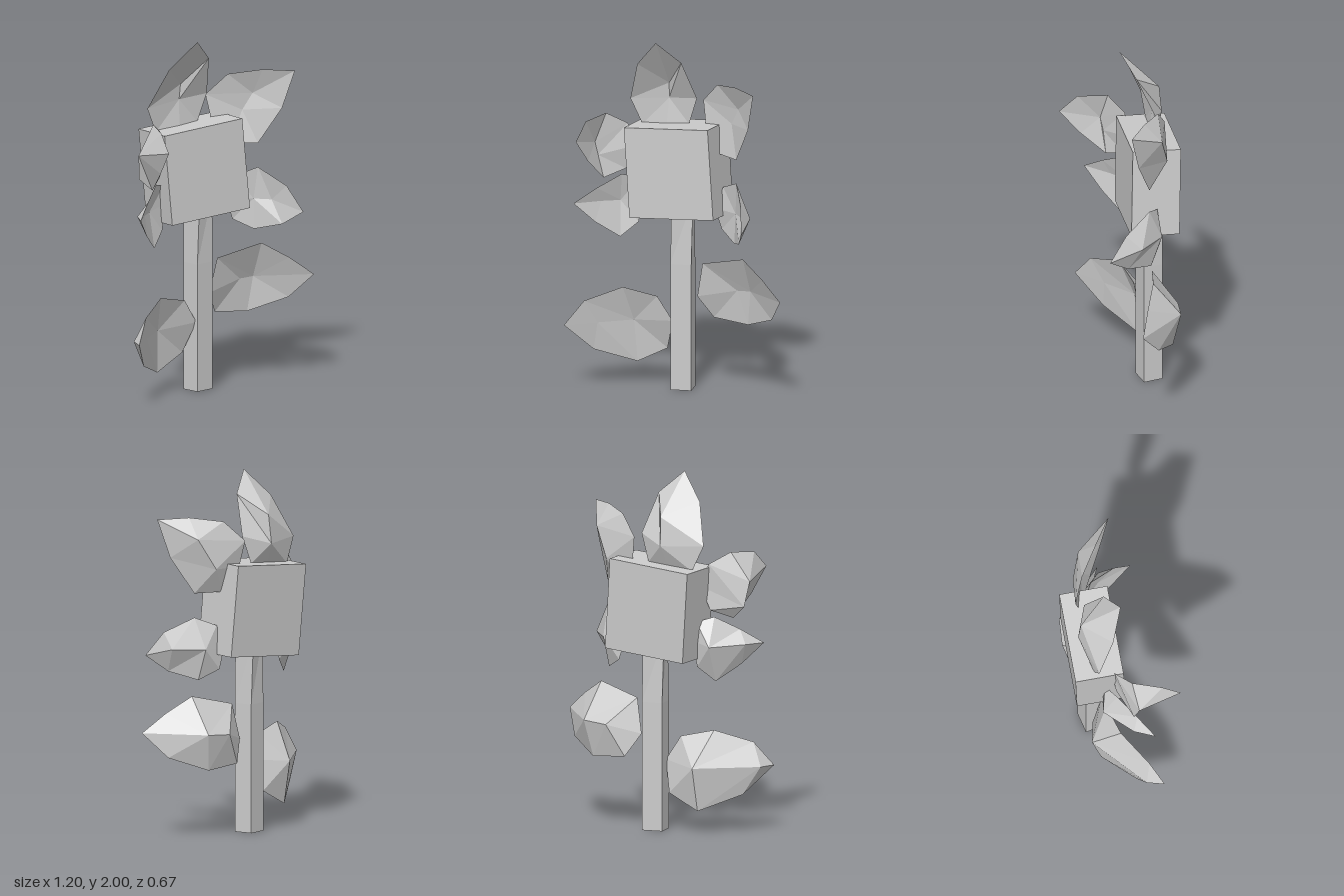
import * as THREE from 'three';

const material = new THREE.MeshStandardMaterial({ color: 0xcccccc, flatShading: true });
const vec = p => new THREE.Vector3(...p);

function facetedMesh(name, triangles) {
  const geometry = new THREE.BufferGeometry().setFromPoints(triangles.flat());
  geometry.computeVertexNormals();
  const mesh = new THREE.Mesh(geometry, material);
  mesh.name = name;
  return mesh;
}

// A cupped leaf. Base, side, tip and other side run anticlockwise from the front;
// a corner is pushed out between each pair. The keel is the ridge behind, near and far.
function leaf(name, base, sideA, tip, sideB, keel, push) {
  const corners = [base, sideA, tip, sideB].map(vec);
  const hub = new THREE.Vector3();
  corners.forEach(p => hub.addScaledVector(p, 0.25));
  const rim = corners.flatMap((p, i) => {
    const mid = p.clone().lerp(corners[(i + 1) % 4], 0.5);
    return [p, mid.addScaledVector(mid.clone().sub(hub), push[i])];
  });
  const back = keel.map(vec);
  const front = back.map(p => p.clone().lerp(hub, 0.45));
  const nearest = p => (back[0].distanceTo(p) <= back[1].distanceTo(p) ? 0 : 1);
  return facetedMesh(name, rim.flatMap((p, i) => {
    const q = rim[(i + 1) % rim.length];
    const a = nearest(p), b = nearest(q);
    const faces = [[front[a], p, q], [back[a], q, p]];
    if (a !== b) faces.push([front[a], q, front[b]], [back[a], back[b], q]);
    return faces;
  }));
}

// Four-sided stalk turned on its axis, twisting a little towards the head
function stem() {
  const ring = (y, angle) => [[1, 1], [1, -1], [-1, -1], [-1, 1]].map(([u, v]) =>
    new THREE.Vector3(u * 0.059, y, v * 0.055)
      .applyAxisAngle(new THREE.Vector3(0, 1, 0), angle)
      .add(new THREE.Vector3(-0.079, 0, -0.163)));
  const rings = [ring(0, 0.39), ring(0.72, 0.39), ring(1.1, 0.55)];
  const triangles = [];
  for (let k = 0; k < 2; k++) {
    for (let i = 0; i < 4; i++) {
      const j = (i + 1) % 4, lo = rings[k], hi = rings[k + 1];
      triangles.push([lo[i], lo[j], hi[j]], [lo[i], hi[j], hi[i]]);
    }
  }
  const [b, , t] = rings;
  triangles.push([b[0], b[2], b[1]], [b[0], b[3], b[2]], [t[0], t[1], t[2]], [t[0], t[2], t[3]]);
  return facetedMesh('stem', triangles);
}

// Tilted block at the flower's centre
function flowerHead() {
  const head = new THREE.Mesh(new THREE.BoxGeometry(0.51, 0.51, 0.27), material);
  head.name = 'flowerHead';
  head.position.set(-0.103, 1.25, -0.157);
  head.rotation.set(-0.03, 0.165, 0.085);
  return head;
}

export function createModel() {
  const group = new THREE.Group();
  group.name = 'flower';
  group.add(stem(), flowerHead());

  // Two leaves on the stem
  group.add(
    leaf('lowerRightLeaf', [-0.11, 0.39, -0.11], [-0.37, 0.57, 0], [-0.6, 0.37, 0.24],
      [-0.345, 0.125, -0.11], [[-0.35, 0.37, -0.16], [-0.59, 0.37, 0.14]], [0.4, 0.3, 0.3, 0.4]),
    leaf('lowerLeftLeaf', [0, 0.53, -0.19], [0.27, 0.385, -0.29], [0.6, 0.6, -0.12],
      [0.31, 0.79, -0.18], [[0.15, 0.58, -0.32], [0.3, 0.59, -0.335]], [0.45, 0.35, 0.05, 0.8]),
  );

  // Five petals around the head
  group.add(
    leaf('topPetal', [-0.19, 1.45, -0.16], [-0.01, 1.66, -0.2], [-0.15, 2, 0],
      [-0.4, 1.62, -0.12], [[-0.18, 1.61, -0.235], [-0.17, 1.77, -0.22]], [0.4, 0.35, 0.3, 0.4]),
    leaf('upperLeftPetal', [0.03, 1.5, -0.23], [0.28, 1.36, -0.16], [0.46, 1.775, -0.06],
      [0.12, 1.755, -0.21], [[0.2, 1.5, -0.26], [0.3, 1.67, -0.23]], [0.4, 0.2, 0.1, 0.5]),
    leaf('middleLeftPetal', [0.11, 1.05, -0.2], [0.26, 0.875, -0.17], [0.46, 1, 0.06],
      [0.28, 1.225, -0.16], [[0.25, 1.05, -0.23], [0.4, 1.05, -0.12]], [0.4, 0.2, 0.3, 0.4]),
    leaf('upperRightPetal', [-0.31, 1.38, -0.05], [-0.44, 1.57, 0.06], [-0.46, 1.46, 0.33],
      [-0.45, 1.2, 0.07], [[-0.53, 1.27, 0.07], [-0.545, 1.41, 0.1]], [0.4, 0.35, 0.1, 0.4]),
    leaf('middleRightPetal', [-0.3, 1.08, -0.1], [-0.39, 1.21, -0.02], [-0.57, 1.06, 0.19],
      [-0.4, 0.85, -0.02], [[-0.42, 1.05, -0.1], [-0.54, 1.06, 0.07]], [0.4, 0.05, 0.1, 0.4]),
  );
  return group;
}
